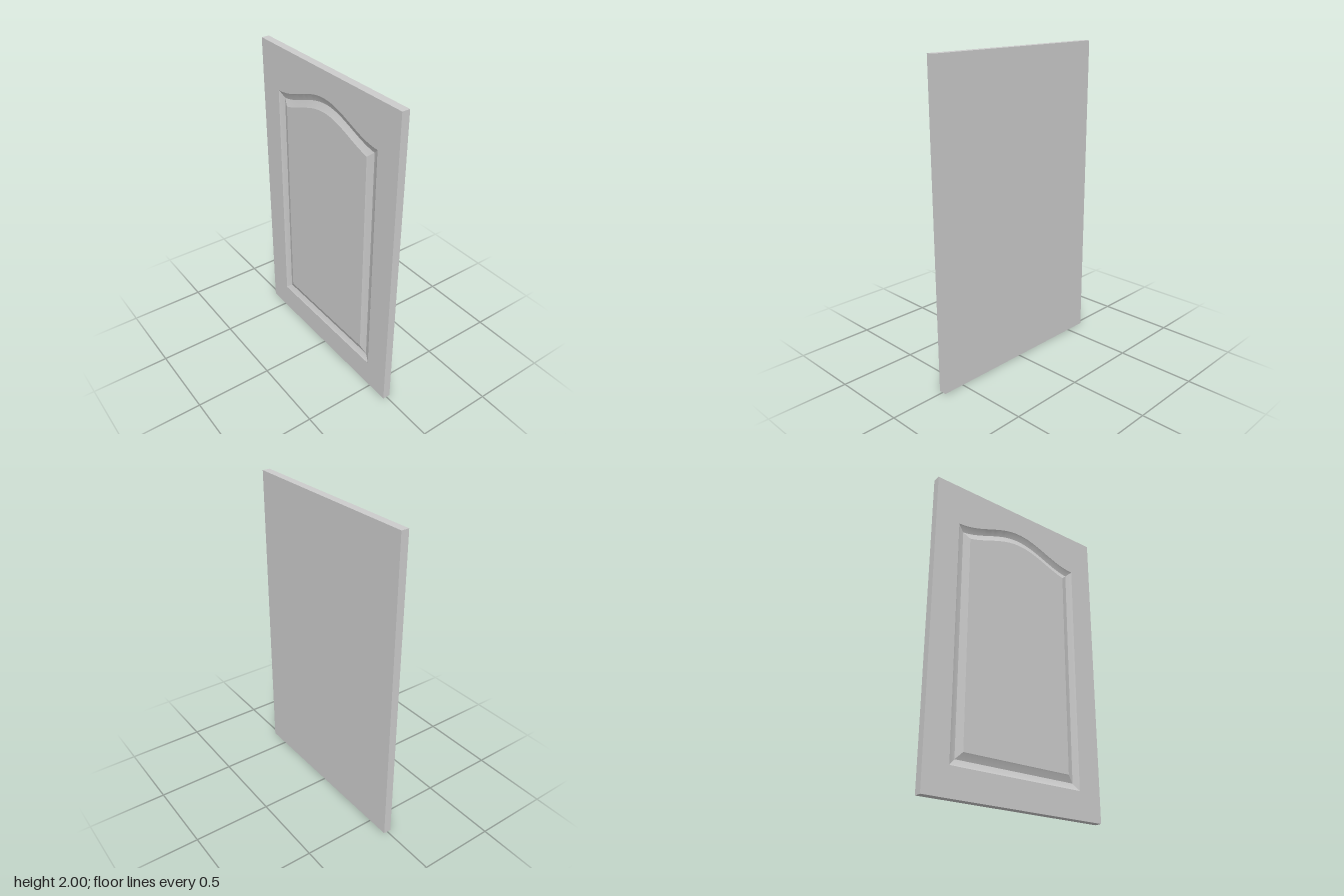
import * as THREE from 'three';
import { toCreasedNormals } from 'three/addons/utils/BufferGeometryUtils.js';

const W = 1.28, H = 2, D = 0.05, FRONT = D / 2;
const ARCH_STEPS = 40;

// Panel outline, inset by d, counter-clockwise from the front: straight sides, ogee arch on top
function outline(d) {
  const half = 0.472, w = half - d, bottom = 0.178 + d;
  const pts = [new THREE.Vector2(-w, bottom), new THREE.Vector2(w, bottom)];
  for (let i = 0; i <= ARCH_STEPS; i++) {
    const x = w - (2 * w * i) / ARCH_STEPS;
    const rise = 0.115 * (0.5 + 0.5 * Math.cos((Math.PI * x) / half));
    pts.push(new THREE.Vector2(x, 1.72 - d + rise));
  }
  return pts;
}

// Moulded groove: [inset, z] steps swept round the outline
function grooveGeometry(profile) {
  const pos = [], index = [];
  const n = outline(0).length;
  for (const [d, z] of profile) for (const p of outline(d)) pos.push(p.x, p.y, z);
  for (let r = 0; r < profile.length - 1; r++) {
    for (let i = 0; i < n; i++) {
      const j = (i + 1) % n, a = r * n, b = a + n;
      index.push(a + i, a + j, b + j, a + i, b + j, b + i);
    }
  }
  const g = new THREE.BufferGeometry();
  g.setAttribute('position', new THREE.Float32BufferAttribute(pos, 3));
  g.setIndex(index);
  return toCreasedNormals(g, 0.3);
}

export function createModel() {
  const door = new THREE.Group();
  door.name = 'cabinetDoor';
  const material = new THREE.MeshStandardMaterial({ color: 0xcccccc });
  const add = (name, geometry) => {
    const mesh = new THREE.Mesh(geometry, material);
    mesh.name = name;
    door.add(mesh);
  };

  const profile = [[0, FRONT], [0.006, 0.021], [0.042, 0.008], [0.08, 0.022], [0.086, FRONT]];

  // Edges and back: a box without its front side
  const slab = new THREE.BoxGeometry(W, H, D).translate(0, H / 2, 0);
  const idx = Array.from(slab.index.array);
  idx.splice(24, 6);
  slab.setIndex(idx);
  slab.clearGroups();
  add('edgesAndBack', slab);

  // Flat frame around the arched opening
  const frame = new THREE.Shape([
    new THREE.Vector2(-W / 2, 0), new THREE.Vector2(W / 2, 0),
    new THREE.Vector2(W / 2, H), new THREE.Vector2(-W / 2, H),
  ]);
  frame.holes.push(new THREE.Path(outline(0)));
  add('frontFrame', new THREE.ShapeGeometry(frame).translate(0, 0, FRONT));

  // V-shaped moulding and raised centre panel
  add('mouldedGroove', grooveGeometry(profile));
  const [inset, z] = profile[profile.length - 1];
  add('raisedPanel', new THREE.ShapeGeometry(new THREE.Shape(outline(inset))).translate(0, 0, z));

  return door;
}
